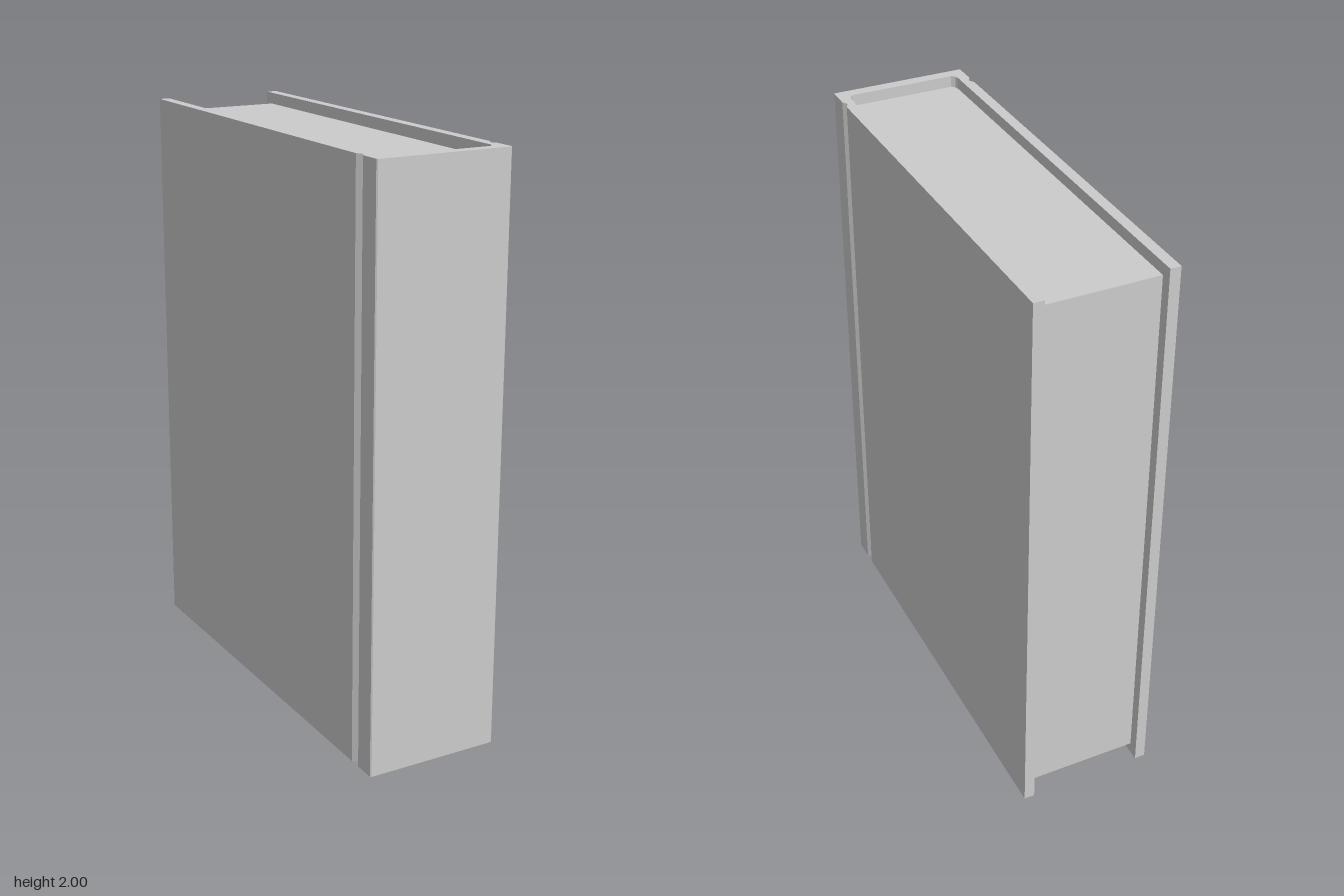
import * as THREE from 'three';

const material = new THREE.MeshStandardMaterial({ color: 0xcccccc, flatShading: true });

// Mirrors a half outline of [x, z] points across x = 0 and extrudes it upright
function uprightPrism(name, half, bottom, top) {
  const outline = [...half, ...half.map(([x, z]) => [-x, z]).reverse()];
  const shape = new THREE.Shape(outline.map(([x, z]) => new THREE.Vector2(x, -z)));
  const geometry = new THREE.ExtrudeGeometry(shape, { depth: top - bottom, bevelEnabled: false });
  geometry.rotateX(-Math.PI / 2).translate(0, bottom, 0);
  const mesh = new THREE.Mesh(geometry, material);
  mesh.name = name;
  return mesh;
}

export function createModel() {
  const book = new THREE.Group();
  book.name = 'book';

  // Rounded inner corner shared by the cover and the pages
  const corner = [[0.2, 0.695], [0.196, 0.71], [0.185, 0.721]];

  // Boards and spine in one piece, with a hinge groove on each side
  const outer = [
    [0.233, 0.761], [0.237, 0.757], [0.237, 0.682],
    [0.225, 0.662], [0.237, 0.641], [0.237, -0.761], [0.2, -0.761],
  ];
  book.add(uprightPrism('cover', [...outer, ...corner], 0, 2));

  // Page block, set in from the cover at the top, bottom and back
  book.add(uprightPrism('pages', [...corner].reverse().concat([[0.2, -0.724]]), 0.04, 1.96));

  return book;
}
